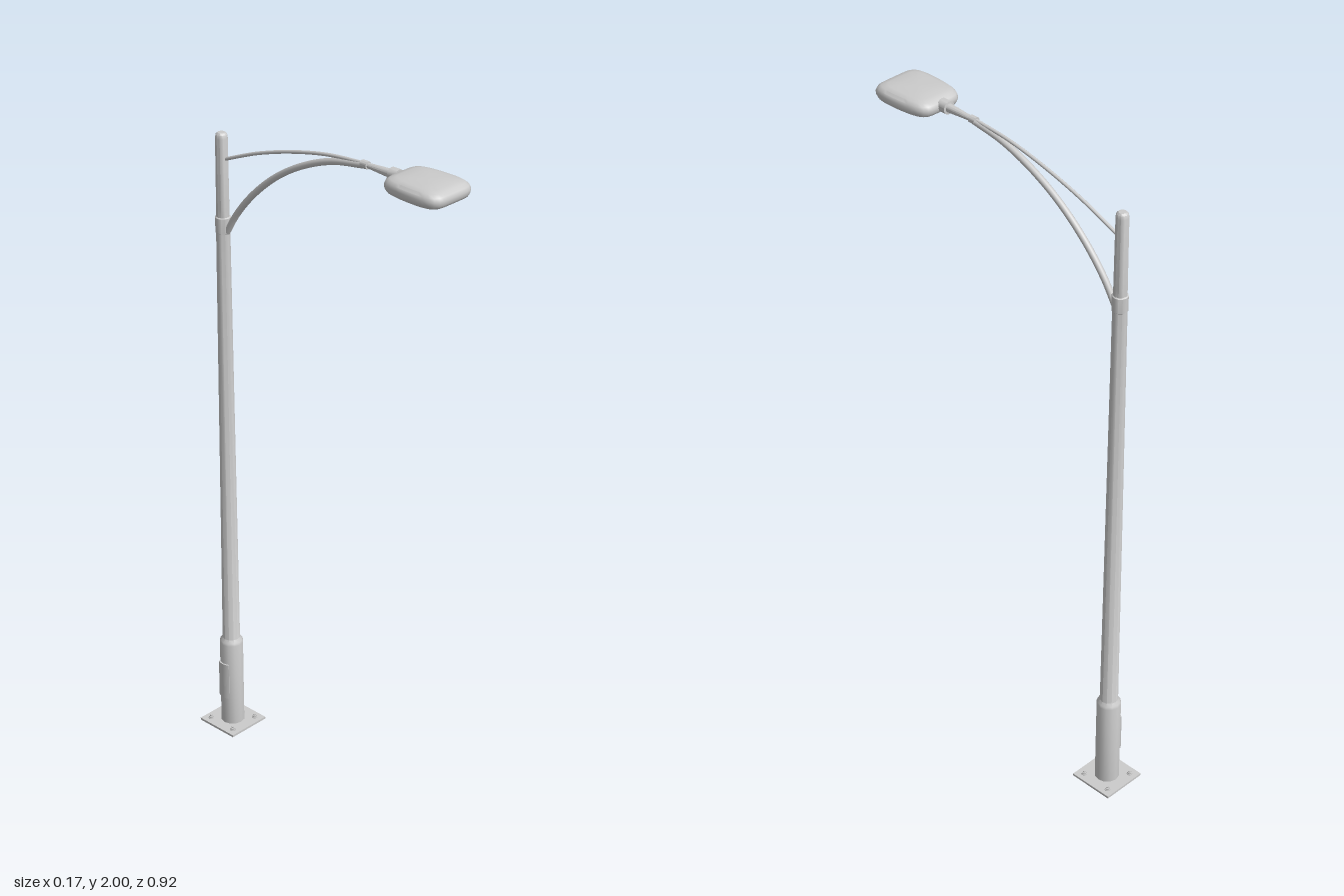
import * as THREE from 'three';
import { toCreasedNormals } from 'three/addons/utils/BufferGeometryUtils.js';

const POLE_Z = -0.39;
const ARM_Y = 1.976;
const grey = new THREE.MeshStandardMaterial({ color: 0xcccccc });
const greyDouble = new THREE.MeshStandardMaterial({ color: 0xcccccc, side: THREE.DoubleSide });

function add(parent, name, geometry, x = 0, y = 0, z = 0, material = grey) {
  const mesh = new THREE.Mesh(geometry, material);
  mesh.name = name;
  mesh.position.set(x, y, z);
  parent.add(mesh);
  return mesh;
}

// Turned part from [radius, height] pairs, with crisp shoulders
function turned(profile, sides) {
  const g = new THREE.LatheGeometry(profile.map(([r, y]) => new THREE.Vector2(r, y)), sides);
  return toCreasedNormals(g, 0.7);
}

// Flat shape in plan, extruded upwards
function slab(shape, height) {
  const g = new THREE.ExtrudeGeometry(shape, { depth: height, bevelEnabled: false, curveSegments: 12 });
  return g.rotateX(-Math.PI / 2);
}

// Round bar through [z, y] points in the x = 0 plane
function bar(points, radius) {
  const curve = new THREE.CatmullRomCurve3(points.map(([z, y]) => new THREE.Vector3(0, y, z)));
  return new THREE.TubeGeometry(curve, 28, radius, 10);
}

// Lofted lamp shell: rings of [scale, height] over a rounded, back-tapered outline
function lampShell(rings, halfWidth, halfLength, sides = 48) {
  const pos = [], index = [], n = 6;
  for (const [scale, y] of rings) {
    for (let j = 0; j < sides; j++) {
      const a = (j / sides) * Math.PI * 2, c = Math.cos(a), s = Math.sin(a);
      const r = Math.pow(Math.abs(c) ** n + Math.abs(s) ** n, -1 / n);
      const t = s * r;
      const taper = 1 - 0.17 * ((t - 0.25) / 1.25) ** 2;
      pos.push(c * r * halfWidth * taper * scale, y, t * halfLength * scale);
    }
  }
  for (let i = 0; i < rings.length - 1; i++) {
    for (let j = 0; j < sides; j++) {
      const a = i * sides + j, b = i * sides + ((j + 1) % sides);
      index.push(a, b, a + sides, b, b + sides, a + sides);
    }
  }
  const g = new THREE.BufferGeometry();
  g.setAttribute('position', new THREE.Float32BufferAttribute(pos, 3));
  g.setIndex(index);
  return toCreasedNormals(g, 0.9);
}

function createBase() {
  const base = new THREE.Group();
  base.name = 'base';
  base.position.z = POLE_Z;

  // Square plate, open under the hollow pole
  const plate = new THREE.Shape();
  plate.moveTo(-0.07, -0.07).lineTo(0.07, -0.07).lineTo(0.07, 0.07).lineTo(-0.07, 0.07).closePath();
  plate.holes.push(new THREE.Path().absarc(0, 0, 0.031, 0, Math.PI * 2, true));
  add(base, 'basePlate', slab(plate, 0.007));

  // Washers, nuts and stud ends at the corners
  for (const x of [-0.047, 0.047]) {
    for (const z of [-0.047, 0.047]) {
      add(base, 'washer', new THREE.CylinderGeometry(0.009, 0.009, 0.002, 12), x, 0.008, z);
      add(base, 'nut', new THREE.CylinderGeometry(0.007, 0.007, 0.005, 6), x, 0.011, z);
      add(base, 'stud', new THREE.CylinderGeometry(0.0035, 0.0035, 0.006, 8), x, 0.015, z);
    }
  }
  return base;
}

function createPole() {
  const pole = new THREE.Group();
  pole.name = 'pole';
  pole.position.z = POLE_Z;

  // Wide foot, shoulder, long taper and rounded tip
  add(pole, 'shaft', turned([
    [0.031, 0], [0.036, 0.004], [0.036, 0.285], [0.034, 0.293], [0.027, 0.302],
    [0.0205, 1.62], [0.019, 1.7], [0.018, 1.905], [0.016, 1.916], [0.011, 1.921], [0, 1.922],
  ], 12), 0, 0, 0, greyDouble);

  // Clamp where the main arm leaves the pole
  add(pole, 'armCollar', turned([
    [0.019, 1.625], [0.0225, 1.628], [0.0225, 1.672], [0.018, 1.676],
  ], 12), 0, 0, 0, greyDouble);

  // Curved service door on the right side
  const door = new THREE.Shape();
  door.absarc(0, 0, 0.04, Math.PI - 0.55, Math.PI + 0.55, false);
  door.absarc(0, 0, 0.033, Math.PI + 0.55, Math.PI - 0.55, true);
  add(pole, 'serviceDoor', slab(door, 0.12), 0, 0.1, 0);
  return pole;
}

function createArm() {
  const arm = new THREE.Group();
  arm.name = 'arm';
  add(arm, 'mainArm', bar([
    [-0.375, 1.63], [-0.335, 1.695], [-0.27, 1.772], [-0.18, 1.85],
    [-0.08, 1.91], [0.03, 1.953], [0.145, 1.974],
  ], 0.0095));
  add(arm, 'stayRod', bar([
    [-0.38, 1.845], [-0.25, 1.898], [-0.12, 1.938], [0.01, 1.966], [0.145, 1.979],
  ], 0.005));

  // Coupling, flared neck and lamp socket along the arm's end
  const neck = turned([
    [0, 0.132], [0.011, 0.132], [0.011, 0.154], [0.0075, 0.155], [0.009, 0.18],
    [0.0125, 0.234], [0.019, 0.235], [0.019, 0.262], [0, 0.262],
  ], 14);
  add(arm, 'neck', neck.rotateX(Math.PI / 2), 0, ARM_Y, 0, greyDouble);
  return arm;
}

function createLamp() {
  const lamp = new THREE.Group();
  lamp.name = 'lamp';
  lamp.position.set(0, 1.954, 0.355);

  // Domed top, rounded side, rim and recessed underside in one loft
  add(lamp, 'lampHousing', lampShell([
    [0, 0.046], [0.4, 0.0455], [0.7, 0.043], [0.87, 0.039], [0.96, 0.032], [1, 0.022],
    [0.985, 0.011], [0.94, 0.003], [0.89, 0], [0.76, 0], [0.66, 0.02], [0, 0.02],
  ], 0.083, 0.1));

  // Light panel in the recess
  add(lamp, 'lightPanel', new THREE.BoxGeometry(0.06, 0.008, 0.085), 0, 0.017, 0);
  return lamp;
}

export function createModel() {
  const model = new THREE.Group();
  model.name = 'streetLamp';
  model.add(createBase(), createPole(), createArm(), createLamp());
  return model;
}
